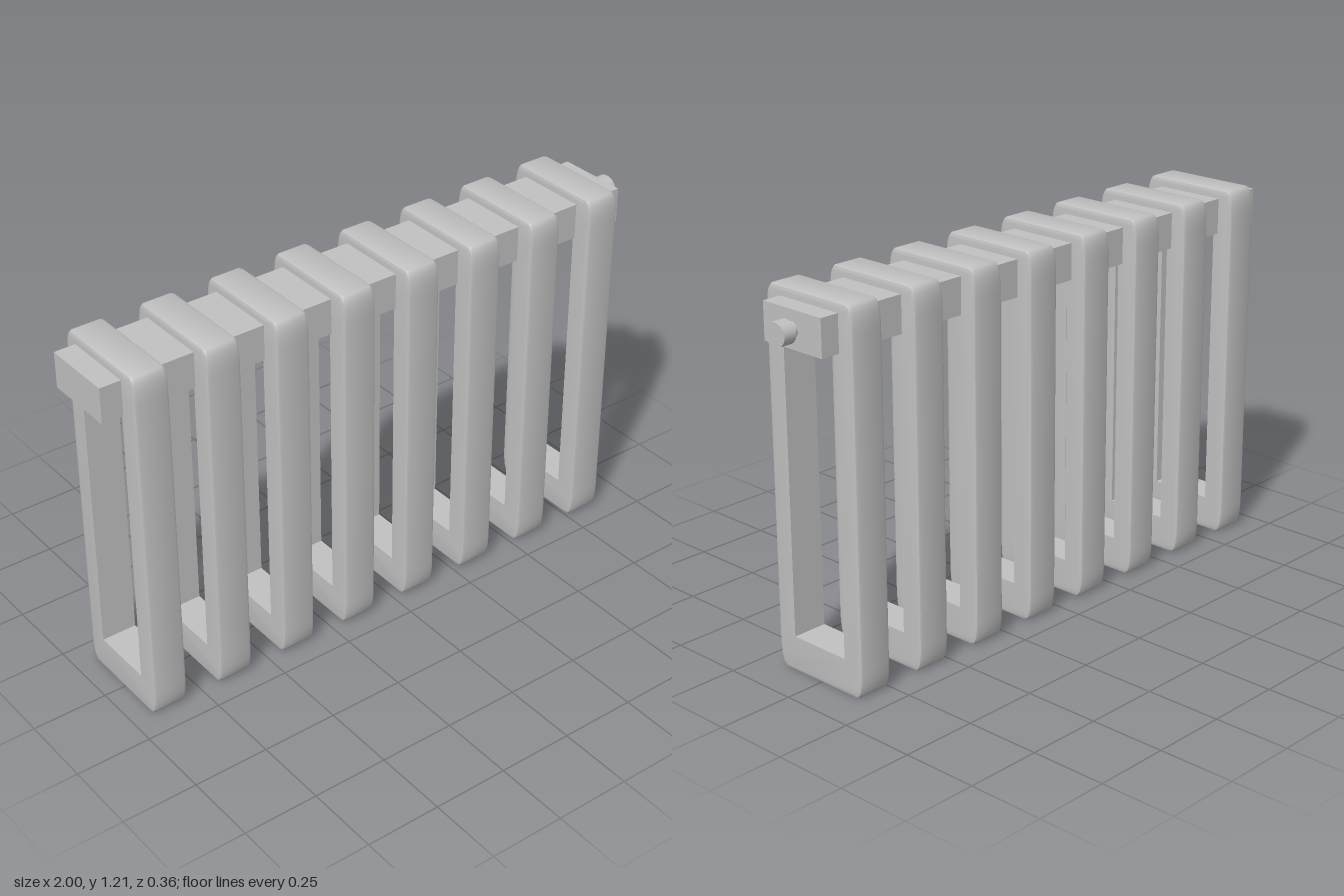
import * as THREE from 'three';
import { toCreasedNormals } from 'three/addons/utils/BufferGeometryUtils.js';

const HEIGHT = 1.207, HALF_DEPTH = 0.18, WIDTH = 0.116, BEVEL = 0.011;

// Tall rectangular loop, rounded on its outer edges and square on the inside
function createColumnGeometry() {
  const d = HALF_DEPTH, h = HEIGHT, cz = 0.027, cy = 0.09;
  const outline = new THREE.Shape();
  outline.moveTo(d - cz, 0);
  outline.quadraticCurveTo(d, 0, d, cy);
  outline.lineTo(d, h - cy);
  outline.quadraticCurveTo(d, h, d - cz, h);
  outline.lineTo(-d + cz, h);
  outline.quadraticCurveTo(-d, h, -d, h - cy);
  outline.lineTo(-d, cy);
  outline.quadraticCurveTo(-d, 0, -d + cz, 0);
  outline.closePath();

  const hz = 0.108, low = 0.115, high = 1.09;
  const hole = new THREE.Path();
  hole.moveTo(-hz, low);
  hole.lineTo(-hz, high);
  hole.lineTo(hz, high);
  hole.lineTo(hz, low);
  hole.closePath();
  outline.holes.push(hole);

  const steps = 5;
  const geometry = new THREE.ExtrudeGeometry(outline, {
    depth: steps, steps, bevelEnabled: false, curveSegments: 6,
  });

  // Respace the layers and draw in the outer rim near both side faces
  const p = geometry.attributes.position;
  for (let i = 0; i < p.count; i++) {
    const layer = Math.round(p.getZ(i));
    const fromSide = Math.min(layer, steps - layer);
    const angle = fromSide * Math.PI / 4;
    const offset = BEVEL * (1 - Math.cos(angle));
    const inset = BEVEL * (1 - Math.sin(angle));
    const x = p.getX(i), y = p.getY(i);
    const inner = Math.abs(x) < hz + 0.001 && y > low - 0.001 && y < high + 0.001;
    if (!inner) {
      p.setX(i, x * (1 - inset / d));
      p.setY(i, h / 2 + (y - h / 2) * (1 - 2 * inset / h));
    }
    p.setZ(i, layer < steps / 2 ? offset - WIDTH / 2 : WIDTH / 2 - offset);
  }
  geometry.rotateY(Math.PI / 2);
  return toCreasedNormals(geometry, 0.65);
}

export function createModel() {
  const model = new THREE.Group();
  model.name = 'radiator';
  const metal = new THREE.MeshStandardMaterial({ color: 0xc0c0c0 });
  metal.name = 'grey metal';

  const add = (name, geometry, x, y, z) => {
    const mesh = new THREE.Mesh(geometry, metal);
    mesh.name = name;
    mesh.position.set(x, y, z);
    model.add(mesh);
  };

  // Row of heating columns
  const columnGeometry = createColumnGeometry();
  for (let i = 0; i < 8; i++) {
    add(`column${i + 1}`, columnGeometry, -0.872 + i * 0.2408, 0, 0);
  }

  // Header bar running through the tops of the columns
  add('headerBar', new THREE.BoxGeometry(1.935, 0.118, 0.24), -0.0325, 1.118, -0.005);

  // Valve on the end of the header
  const rod = (radius, length) =>
    new THREE.CylinderGeometry(radius, radius, length, 32).rotateZ(Math.PI / 2);
  add('valveNeck', rod(0.024, 0.04), 0.943, 1.118, -0.005);
  const knob = rod(0.04, 0.043).scale(1, 0.92, 1.06);
  add('valveKnob', knob, 0.9785, 1.118, -0.005);

  return model;
}
